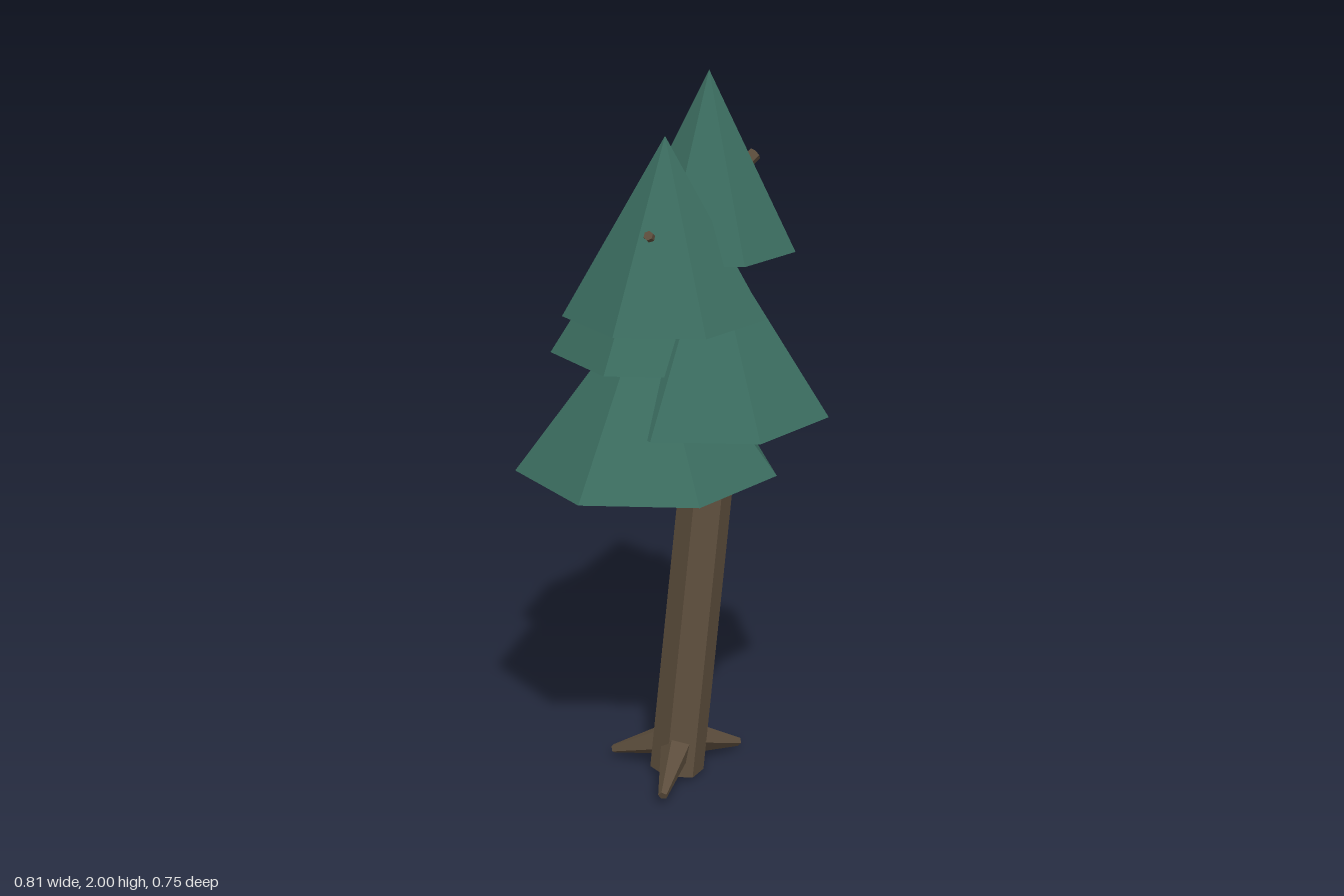
import * as THREE from 'three';

export function createModel() {
  const group = new THREE.Group();
  const foliage = new THREE.MeshStandardMaterial({ color: 0x3a6b5e, flatShading: true });
  foliage.name = 'pine green';
  const bark = new THREE.MeshStandardMaterial({ color: 0x5c4d3c, flatShading: true });
  bark.name = 'bark brown';

  // Tapered faceted limb running between two points
  function limb(name, from, to, r0, r1, sides) {
    const a = new THREE.Vector3(...from);
    const b = new THREE.Vector3(...to);
    const dir = b.clone().sub(a);
    const mesh = new THREE.Mesh(new THREE.CylinderGeometry(r1, r0, dir.length(), sides), bark);
    mesh.name = name;
    mesh.position.copy(a).add(b).multiplyScalar(0.5);
    mesh.quaternion.setFromUnitVectors(new THREE.Vector3(0, 1, 0), dir.normalize());
    group.add(mesh);
  }

  // Trunk: long leaning log, then a kinked piece hidden by the needles
  limb('lowerTrunk', [0.011, 0.01, 0], [0.126, 0.875, -0.02], 0.077, 0.075, 6);
  limb('upperTrunk', [0.128, 0.885, -0.02], [0.07, 1.1, -0.02], 0.08, 0.075, 6);

  // Three roots spread around the foot
  const rootTips = [[0.235, 0.022, -0.005], [-0.14, 0.035, 0.145], [-0.09, 0.025, -0.175]];
  for (const tip of rootTips) {
    limb('root', [0.02 + tip[0] * 0.1, 0.1, tip[2] * 0.1], tip, 0.05, 0.013, 5);
  }

  // Broken twigs poking out of the needles
  limb('twig', [0.17, 1.71, 0.015], [0.247, 1.768, 0.022], 0.018, 0.018, 6);
  limb('twig', [-0.12, 1.59, 0.1], [-0.172, 1.63, 0.132], 0.013, 0.013, 6);
  limb('twig', [0.13, 1.12, -0.04], [0.2, 1.095, -0.057], 0.02, 0.015, 5);

  // Seven-sided foliage cones: centre x, base y, centre z, radius, height
  const tiers = [
    [-0.086, 0.965, 0, 0.356, 0.465],
    [0.08, 1.108, 0.055, 0.325, 0.49],
    [0.016, 1.25, -0.088, 0.296, 0.46],
    [-0.062, 1.395, 0.049, 0.27, 0.46],
    [0.105, 1.537, 0.008, 0.236, 0.463],
  ];
  for (const [x, y, z, r, h] of tiers) {
    const geometry = new THREE.ConeGeometry(r, h, 7).rotateY(Math.PI / 2);
    const mesh = new THREE.Mesh(geometry, foliage);
    mesh.name = 'foliageTier';
    mesh.position.set(x, y + h / 2, z);
    group.add(mesh);
  }

  return group;
}
